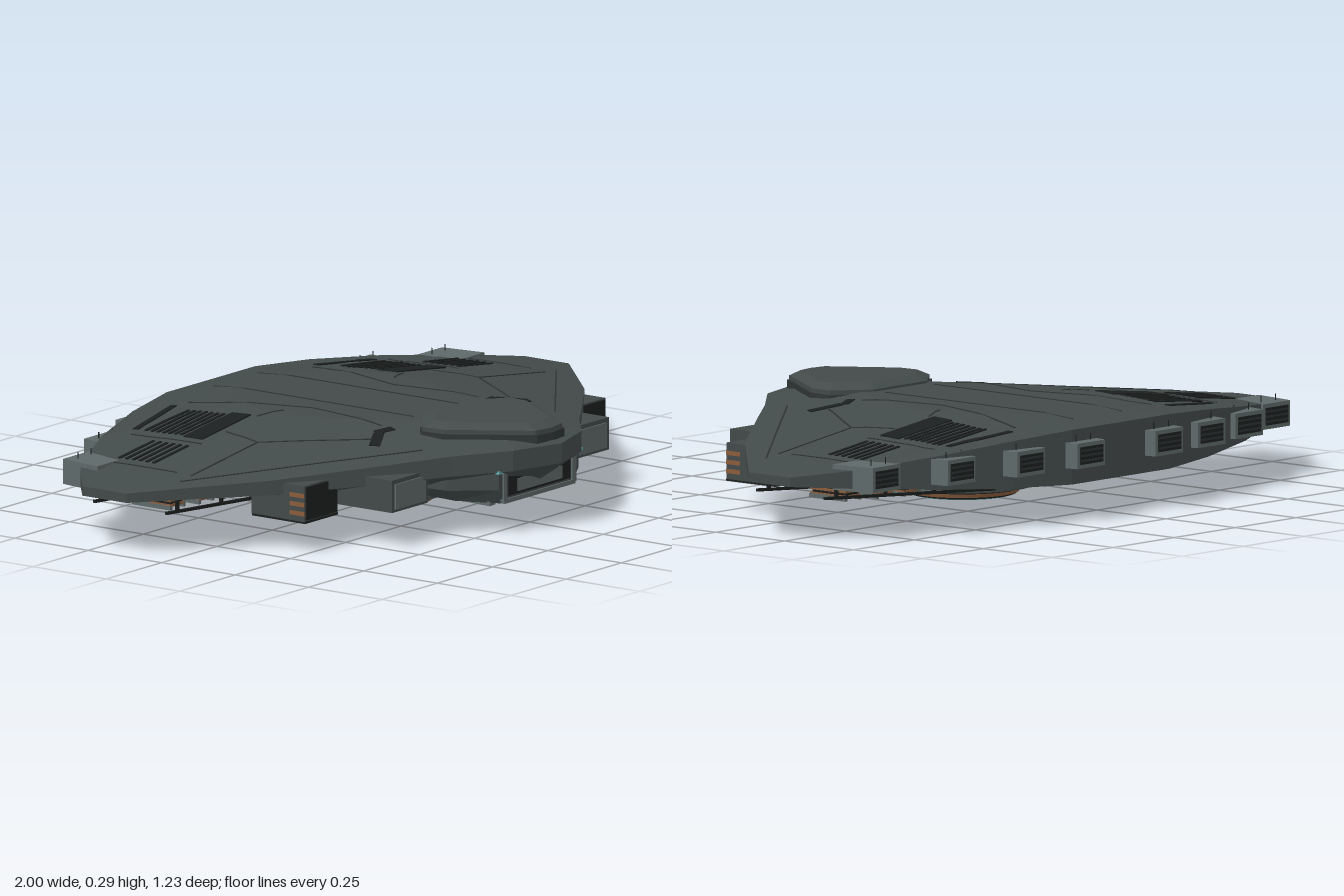
import * as THREE from 'three';

const mat = (name, color) => {
  const m = new THREE.MeshStandardMaterial({ color });
  m.name = name;
  return m;
};

export function createModel() {
  const hullGrey = mat('hull grey', 0x434a4a), trim = mat('light grey trim', 0x5f6969);
  const dark = mat('dark grille', 0x1d2020), seam = mat('panel seam', 0x2e3333);
  const copper = mat('copper', 0x8a5c3c), teal = mat('teal glow', 0x62aaaa);
  const root = new THREE.Group();

  const add = (name, geo, m, x = 0, y = 0, z = 0, parent = root) => {
    const o = new THREE.Mesh(geo, m);
    o.name = name;
    o.position.set(x, y, z);
    parent.add(o);
    return o;
  };
  const box = (name, w, h, d, m, x, y, z, parent) => add(name, new THREE.BoxGeometry(w, h, d), m, x, y, z, parent);
  const group = (name) => {
    const g = new THREE.Group();
    g.name = name;
    root.add(g);
    return g;
  };
  // Half outline, nose to tail on the left side, mirrored into a closed ring
  const mirror = (half) => [...half, ...half.filter((p) => p[0] > 0).reverse().map(([x, y, z]) => [-x, y, z])];
  // Closed flat-shaded skin through rings listed from bottom to top
  const loft = (rings) => {
    const v = [], n = rings[0].length;
    const mid = (r) => [0, 1, 2].map((k) => r.reduce((s, p) => s + p[k], 0) / n);
    const lo = mid(rings[0]), hi = mid(rings.at(-1));
    for (let i = 0; i < n; i++) {
      const j = (i + 1) % n;
      v.push(...lo, ...rings[0][j], ...rings[0][i], ...hi, ...rings.at(-1)[i], ...rings.at(-1)[j]);
      for (let k = 0; k + 1 < rings.length; k++) {
        const [a, b, c, d] = [rings[k][i], rings[k][j], rings[k + 1][j], rings[k + 1][i]];
        v.push(...a, ...b, ...c, ...a, ...c, ...d);
      }
    }
    const g = new THREE.BufferGeometry();
    g.setAttribute('position', new THREE.Float32BufferAttribute(v, 3));
    g.computeVertexNormals();
    return g;
  };

  // Main hull: x, z, lower rim height, upper rim height
  const rim = [[0, 0.61, 0.18, 0.235], [0.155, 0.56, 0.178, 0.235], [0.29, 0.45, 0.172, 0.228], [0.42, 0.36, 0.166, 0.218],
    [0.7, 0.16, 0.156, 0.197], [1, -0.12, 0.15, 0.176], [1, -0.27, 0.15, 0.176], [0.85, -0.39, 0.14, 0.192],
    [0.62, -0.49, 0.122, 0.217], [0.4, -0.55, 0.108, 0.238], [0.2, -0.585, 0.1, 0.25], [0, -0.585, 0.1, 0.25]];
  const hull = add('hull', loft([
    mirror(rim.map(([x, z]) => [x * 0.55, 0.1, z * 0.82])),
    mirror(rim.map(([x, z, a]) => [x, a, z])),
    mirror(rim.map(([x, z, , b]) => [x, b, z])),
    mirror(rim.map(([x, z]) => [x * 0.28, 0.268, z * 0.75])),
  ]), hullGrey);

  // Raised cockpit deck with a dark surround
  const deck = [[0, 0.575], [0.06, 0.565], [0.2, 0.36], [0.205, 0.29], [0.11, 0.215], [0, 0.215]];
  const ring = (pts, y, s, zc) => mirror(pts.map(([x, z]) => [x * s, y, zc + (z - zc) * s]));
  add('deckSurround', loft([ring(deck, 0.235, 1.04, 0.38), ring(deck, 0.262, 1.03, 0.38)]), seam);
  add('cockpitDeck', loft([ring(deck, 0.24, 1, 0.38), ring(deck, 0.274, 1, 0.38), ring(deck, 0.29, 0.83, 0.38)]), hullGrey);

  // Strips laid along the upper skin
  const ray = new THREE.Raycaster(), down = new THREE.Vector3(0, -1, 0);
  const skin = (x, z) => {
    ray.set(new THREE.Vector3(x, 2, z), down);
    return ray.intersectObject(hull)[0];
  };
  const details = group('skinDetails');
  const strip = (name, x1, z1, x2, z2, w, m, h = 0.006, steps = 4) => {
    for (const s of [1, -1]) for (let i = 0; i < steps; i++) {
      const at = (t) => skin(s * (x1 + (x2 - x1) * t), z1 + (z2 - z1) * t);
      const a = at(i / steps), b = at((i + 1) / steps), c = at((i + 0.5) / steps);
      if (!a || !b || !c) continue;
      const p = a.point.clone().add(b.point).multiplyScalar(0.5);
      const o = box(name, w, h, a.point.distanceTo(b.point), m, p.x, p.y, p.z, details);
      o.up.copy(c.face.normal);
      o.lookAt(b.point);
    }
  };
  const seams = [[0.1, 0.18, 0.1, -0.5], [0.22, 0.16, 0.18, -0.1], [0.18, -0.1, 0.28, -0.45], [0.3, 0.22, 0.5, -0.05],
    [0.5, -0.05, 0.8, -0.05], [0.5, -0.05, 0.47, -0.18], [0.3, 0.36, 0.85, -0.05], [0.58, -0.18, 0.58, -0.42],
    [0.8, -0.1, 0.8, -0.35], [0.25, -0.15, 0.33, -0.18]];
  for (const s of seams) strip('panelSeam', ...s, 0.004, seam, 0.004, 6);
  strip('rearSlot', 0.32, -0.47, 0.54, -0.435, 0.018, dark);
  strip('deckBracket', 0.22, 0.2, 0.27, 0.18, 0.025, dark);
  strip('deckBracket', 0.27, 0.19, 0.35, 0.235, 0.03, dark);
  // Dorsal vents: dark bed with slats
  strip('ventOpening', 0.33, -0.232, 0.55, -0.232, 0.065, dark, 0.006);
  for (let i = 0; i < 7; i++) strip('ventSlat', 0.345, -0.28 - i * 0.02, 0.54, -0.28 - i * 0.02, 0.009, dark, 0.007);
  for (let i = 0; i < 6; i++) strip('outerVentSlat', 0.61, -0.205 - i * 0.023, 0.765, -0.205 - i * 0.023, 0.009, dark, 0.007);

  // Chin beneath the nose
  const chin = [[0, 0.53], [0.18, 0.53], [0.27, 0.42], [0.29, 0.15], [0, 0.15]];
  add('chin', loft([mirror(chin.map(([x, z]) => [x * 0.85, 0.1 - Math.max(0, z - 0.25) * 0.06, z])),
    mirror(chin.map(([x, z]) => [x, 0.125, z])), ring(chin, 0.2, 1, 0.34)]), hullGrey);
  box('chinRecess', 0.28, 0.055, 0.006, dark, 0, 0.13, 0.531);
  box('chinInnerPanel', 0.2, 0.035, 0.006, trim, 0, 0.127, 0.533);
  box('chinLightStrip', 0.38, 0.008, 0.012, teal, 0, 0.175, 0.532);
  for (const s of [1, -1]) box('chinFramePost', 0.018, 0.08, 0.02, trim, s * 0.155, 0.13, 0.525);
  box('chinFrameSill', 0.32, 0.012, 0.02, trim, 0, 0.09, 0.525);
  for (const s of [1, -1]) {
    const keel = box('chinKeel', 0.03, 0.012, 0.32, trim, s * 0.185, 0.092, 0.34);
    keel.rotation.set(0.06, -s * 0.12, 0);
  }

  // Intakes below the leading edge
  const intakes = group('intakes');
  for (const s of [1, -1]) {
    box('innerIntake', 0.16, 0.09, 0.26, hullGrey, s * 0.41, 0.145, 0.27, intakes);
    box('innerIntakeFace', 0.135, 0.07, 0.006, trim, s * 0.41, 0.143, 0.401, intakes);
    box('outerIntake', 0.15, 0.1, 0.18, hullGrey, s * 0.605, 0.138, 0.155, intakes);
    box('outerIntakeFace', 0.14, 0.092, 0.006, dark, s * 0.605, 0.138, 0.246, intakes);
    box('outerIntakeFloor', 0.15, 0.006, 0.18, dark, s * 0.605, 0.086, 0.157, intakes);
    for (let i = 0; i < 3; i++) box('intakeSlat', 0.012, 0.012, 0.05, copper, s * 0.675, 0.11 + i * 0.025, 0.22, intakes);
  }

  // Ventral lift emitter
  const disc = (name, r0, r1, y0, y1, m) => add(name, new THREE.CylinderGeometry(r1, r0, y1 - y0, 48), m, 0, (y0 + y1) / 2, -0.01);
  disc('emitterHousing', 0.2, 0.2, 0.027, 0.092, hullGrey);
  disc('emitterNeck', 0.175, 0.175, 0.09, 0.11, dark);
  disc('emitterCollar', 0.175, 0.18, 0.021, 0.028, dark);
  disc('emitterRing', 0.155, 0.16, 0.008, 0.022, copper);
  disc('emitterInnerRing', 0.147, 0.15, 0.003, 0.009, dark);
  disc('emitterLens', 0.138, 0.142, 0, 0.006, teal);

  // Ventral vents between two slanted rails on each wing
  const belly = group('bellyVents');
  for (const s of [1, -1]) {
    for (const x of [0.28, 0.39, 0.5, 0.61, 0.74]) {
      const y = 0.068 + (x - 0.28) * 0.05;
      box('ventBlock', 0.055, 0.06, 0.12, dark, s * x, y + 0.032, -0.205, belly);
      for (let i = 0; i < 3; i++) box('ventFin', 0.064, 0.007, 0.128, copper, s * x, y + 0.006 + i * 0.014, -0.205, belly);
      for (const e of [1, -1]) box('ventFrame', 0.01, 0.012, 0.13, trim, s * (x + e * 0.03), y, -0.205, belly);
    }
    for (const z of [-0.06, -0.305]) {
      const rail = box('rail', 0.7, 0.008, 0.008, dark, s * 0.55, 0.086, z, belly);
      rail.rotation.z = s * 0.071;
      for (const x of [0.25, 0.45, 0.65, 0.85]) box('railStrut', 0.012, 0.05, 0.006, dark, s * x, 0.088 + (x - 0.55) * 0.071 + 0.02, z, belly);
    }
  }

  // Rear thrusters: tapered hollow nozzles with grilles
  const engines = group('thrusters');
  const nozzle = new THREE.BoxGeometry(0.15, 0.07, 0.13);
  const p = nozzle.attributes.position;
  for (let i = 0; i < p.count; i++) if (p.getZ(i) < 0) p.setX(i, p.getX(i) * 0.75);
  nozzle.computeVertexNormals();
  for (const s of [1, -1]) for (const [x, y, z] of [[0.16, 0.182, -0.62], [0.37, 0.179, -0.588], [0.59, 0.174, -0.53], [0.8, 0.168, -0.443]]) {
    add('thruster', nozzle, trim, s * x, y, z + 0.065, engines);
    box('thrusterGrille', 0.092, 0.048, 0.004, dark, s * x, y, z - 0.001, engines);
    for (let i = -1; i < 2; i++) box('thrusterVane', 0.088, 0.005, 0.005, seam, s * x, y + i * 0.014, z - 0.002, engines);
    for (const e of [-1, 1]) box('thrusterAerial', 0.002, 0.02, 0.002, dark, s * x + e * 0.03, y + 0.043, z + 0.03, engines);
  }
  return root;
}
